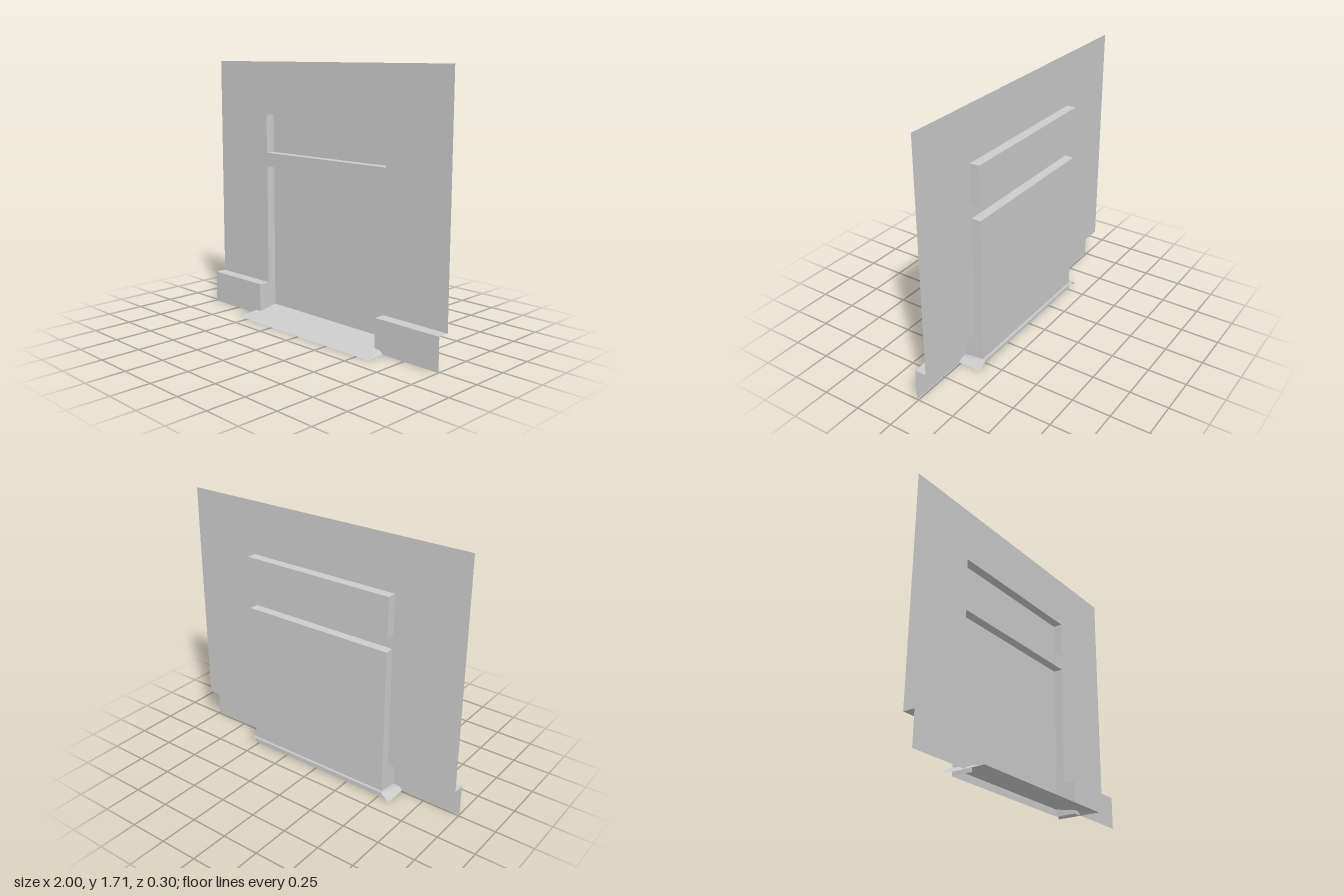
import * as THREE from 'three';

const material = new THREE.MeshStandardMaterial({ color: 0xcccccc, side: THREE.DoubleSide, flatShading: true });

// Main planes of the wall
const H = 1.71, WALL_Z = -0.065, BACK_Z = -0.126, PLINTH_Z = 0.012, PLINTH_Y = 0.212;
const DOOR_X = 0.522, DOOR_TOP = 1.015;
const WIN_X = 0.526, WIN_LOW = 1.107, WIN_TOP = 1.363;

// Sheet made of convex polygons, corners counter-clockwise as seen from the front
function sheet(name, ...polygons) {
  const positions = [];
  for (const p of polygons) {
    for (let i = 1; i < p.length - 1; i++) positions.push(...p[0], ...p[i], ...p[i + 1]);
  }
  const geometry = new THREE.BufferGeometry();
  geometry.setAttribute('position', new THREE.Float32BufferAttribute(positions, 3));
  geometry.computeVertexNormals();
  const mesh = new THREE.Mesh(geometry, material);
  mesh.name = name;
  return mesh;
}

// Upright rectangle facing +z
const upright = (x0, x1, y0, y1, z) => [[x0, y0, z], [x1, y0, z], [x1, y1, z], [x0, y1, z]];
// Level rectangle facing up
const level = (x0, x1, y, z0, z1) => [[x0, y, z1], [x1, y, z1], [x1, y, z0], [x0, y, z0]];
// Side rectangle facing the middle of the opening
function jamb(x, y0, y1, z0, z1) {
  const p = [[x, y0, z0], [x, y0, z1], [x, y1, z1], [x, y1, z0]];
  return x > 0 ? p.reverse() : p;
}

export function createModel() {
  const model = new THREE.Group();
  model.name = 'doorWall';

  // Wall sheet, notched for the doorway and pierced for the panel above
  const outline = new THREE.Shape([
    [-1, PLINTH_Y], [-DOOR_X, PLINTH_Y], [-DOOR_X, DOOR_TOP], [DOOR_X, DOOR_TOP],
    [DOOR_X, PLINTH_Y], [1, PLINTH_Y], [1, H], [-1, H],
  ].map(([x, y]) => new THREE.Vector2(x, y)));
  outline.holes.push(new THREE.Path([
    [-WIN_X, WIN_LOW], [-WIN_X, WIN_TOP], [WIN_X, WIN_TOP], [WIN_X, WIN_LOW],
  ].map(([x, y]) => new THREE.Vector2(x, y))));
  const wall = new THREE.Mesh(new THREE.ShapeGeometry(outline), material);
  wall.name = 'wall';
  wall.position.z = WALL_Z;
  model.add(wall);

  // Recessed panel above the door
  model.add(sheet('upperRecess',
    upright(-WIN_X, WIN_X, WIN_LOW, WIN_TOP, BACK_Z),
    level(-WIN_X, WIN_X, WIN_LOW, BACK_Z, WALL_Z),
    level(-WIN_X, WIN_X, WIN_TOP, BACK_Z, WALL_Z).reverse(),
    jamb(-WIN_X, WIN_LOW, WIN_TOP, BACK_Z, WALL_Z),
    jamb(WIN_X, WIN_LOW, WIN_TOP, BACK_Z, WALL_Z)));

  // Door leaf and the underside of its head
  model.add(sheet('door', upright(-DOOR_X, DOOR_X, 0, DOOR_TOP, BACK_Z)));
  model.add(sheet('doorHead', level(-DOOR_X, DOOR_X, DOOR_TOP, BACK_Z, WALL_Z).reverse()));

  // Door jambs and projecting plinths on both sides
  for (const [side, s] of [['left', 1], ['right', -1]]) {
    const x = s * DOOR_X;
    const x0 = Math.min(x, s), x1 = Math.max(x, s);
    model.add(sheet(side + 'Jamb',
      jamb(x, PLINTH_Y, DOOR_TOP, BACK_Z, WALL_Z),
      jamb(x, 0, PLINTH_Y, BACK_Z, PLINTH_Z)));
    model.add(sheet(side + 'Plinth',
      upright(x0, x1, 0, PLINTH_Y, PLINTH_Z),
      level(x0, x1, PLINTH_Y, WALL_Z, PLINTH_Z)));
  }

  // Threshold ramp with sloping side triangles, open at the back and below
  const rx = 0.587, tx = 0.53, ry = 0.05, rz = 0.148;
  model.add(sheet('ramp',
    [[-rx, 0, rz], [rx, 0, rz], [tx, ry, -rz], [-tx, ry, -rz]],
    [[rx, 0, rz], [rx, 0, -rz], [tx, ry, -rz]],
    [[-rx, 0, -rz], [-rx, 0, rz], [-tx, ry, -rz]]));

  return model;
}
